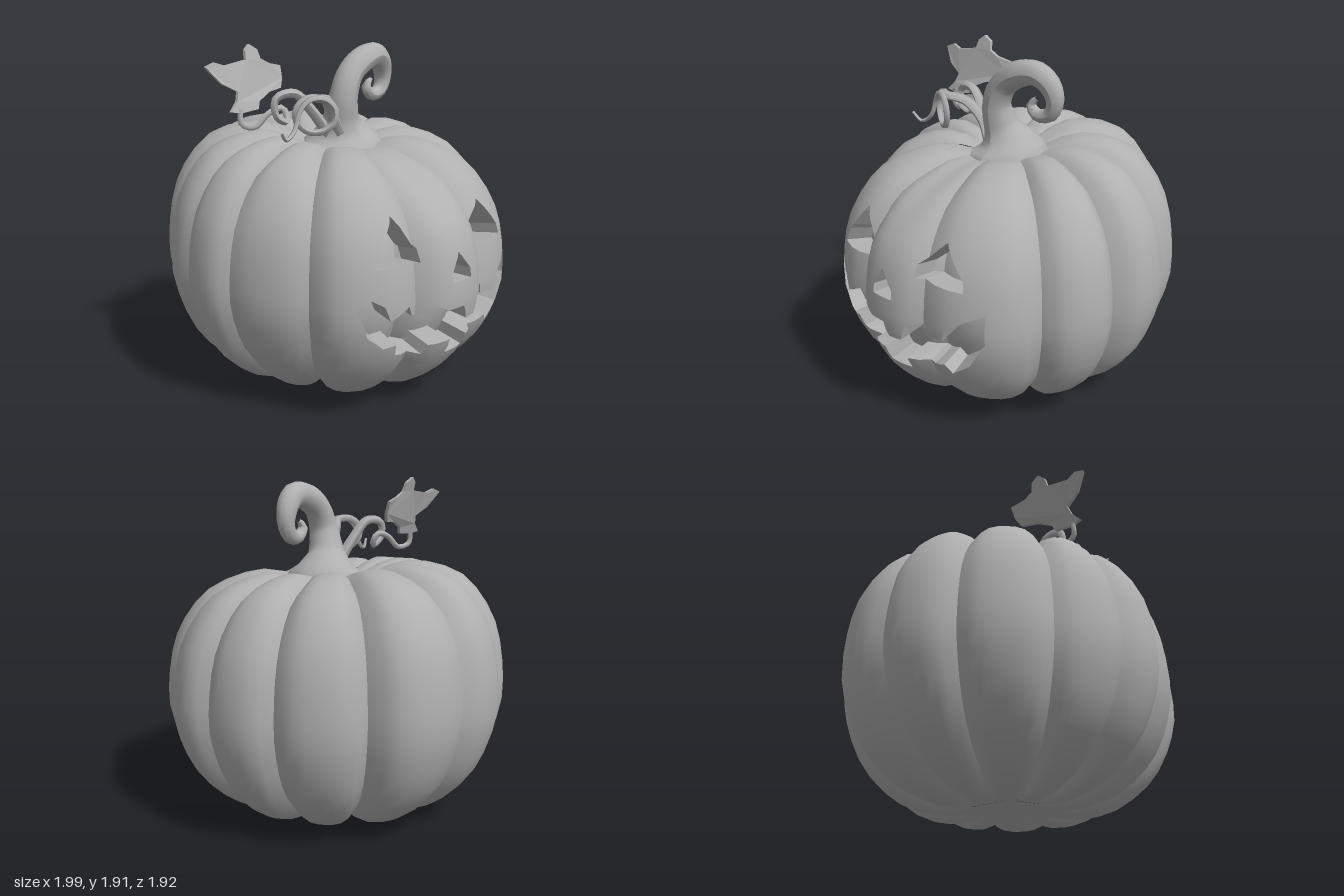
import * as THREE from 'three';

const grey = new THREE.MeshStandardMaterial({ color: 0xb0b0b0 });
grey.name = 'plain grey';
const V = (x, y, z) => new THREE.Vector3(x, y, z);

// Lobes: groove angle (degrees from +x towards +z), groove radius, lobe radius, how far the lobe's top sags
const LOBES = [
  [-11, 0.94, 1.0, 0.07], [19, 0.92, 0.995, 0], [54, 0.89, 0.92, 0], [83, 0.9, 0.96, 0],
  [105, 0.92, 0.96, 0], [129, 0.91, 0.995, 0], [159, 0.93, 1.0, 0], [186, 0.94, 0.99, 0],
  [221, 0.85, 0.955, 0], [253, 0.88, 0.968, 0], [282, 0.865, 0.975, 0], [310, 0.89, 1.0, 0],
];

// Lobe crest outline: radius, height
const CREST = new THREE.SplineCurve([
  [0, 0.08], [0.15, 0.04], [0.32, 0.0], [0.52, 0.025], [0.7, 0.11], [0.87, 0.28], [0.97, 0.5], [1, 0.71],
  [0.95, 1.03], [0.815, 1.26], [0.67, 1.365], [0.46, 1.42], [0.3, 1.395], [0.17, 1.34], [0, 1.31],
].map(p => new THREE.Vector2(...p)));

// Carved openings as (z, y) outlines on the +x side
const HOLES = [
  [[0.54, 0.89], [0.5, 0.97], [0.38, 1.125], [0.27, 0.95], [0.27, 0.88]],
  [[-0.125, 0.9], [-0.13, 0.97], [-0.27, 1.1], [-0.41, 0.94], [-0.42, 0.885]],
  [[0.13, 0.76], [0.13, 0.81], [0.07, 0.91], [-0.01, 0.81], [-0.01, 0.76]],
  [[0.63, 0.78], [0.51, 0.7], [0.48, 0.62], [0.36, 0.67], [0.33, 0.61], [0.26, 0.61], [0.24, 0.66],
    [0.16, 0.62], [0.05, 0.62], [0.02, 0.54], [-0.06, 0.54], [-0.09, 0.63], [-0.19, 0.66], [-0.2, 0.6],
    [-0.31, 0.6], [-0.34, 0.68], [-0.43, 0.73], [-0.53, 0.78], [-0.53, 0.62], [-0.44, 0.47],
    [-0.33, 0.39], [-0.29, 0.44], [-0.21, 0.41], [-0.06, 0.41], [-0.06, 0.34], [0.09, 0.34],
    [0.1, 0.43], [0.22, 0.42], [0.23, 0.36], [0.4, 0.4], [0.42, 0.47], [0.49, 0.46], [0.58, 0.54], [0.63, 0.7]],
];

function lobeGeometry(i) {
  const [a0, g0, R, sag] = LOBES[i];
  const next = LOBES[(i + 1) % LOBES.length];
  const a1 = next[0] < a0 ? next[0] + 360 : next[0];
  const cols = 8, rows = 26, pos = [], index = [];
  for (let r = 0; r <= rows; r++) {
    const c = CREST.getPointAt(r / rows);
    c.x = Math.max(0, c.x);
    const fade = THREE.MathUtils.smoothstep(c.x, 0.12, 0.6);
    for (let k = 0; k <= cols; k++) {
      const t = (k / cols) * 2 - 1;
      const a = THREE.MathUtils.degToRad(a0 + (a1 - a0) * k / cols);
      const g = Math.pow(Math.abs(t), 3) * fade;
      const rad = c.x * (R - (R - (t < 0 ? g0 : next[1])) * g);
      const x = rad * Math.cos(a);
      const y = 0.7 + (c.y - 0.7) * (1 - 0.085 * g)
        - sag * (1 - t * t) * fade * THREE.MathUtils.smoothstep(c.y, 1, 1.36);
      pos.push(x, y - (x > 0 ? 0.095 : 0.08) * x * y / 1.4, rad * Math.sin(a));
      if (r < rows && k < cols) {
        const p = r * (cols + 1) + k, q = p + cols + 1;
        index.push(p, q, p + 1, p + 1, q, q + 1);
      }
    }
  }
  const geo = new THREE.BufferGeometry();
  geo.setAttribute('position', new THREE.Float32BufferAttribute(pos, 3));
  geo.setIndex(index);
  geo.computeVertexNormals();
  return geo;
}

// Collects convex polygons of {p, n} corners into a geometry
function polygonsToGeometry(polys, flat) {
  const pos = [], nor = [];
  for (const poly of polys)
    for (let k = 1; k < poly.length - 1; k++)
      for (const v of [poly[0], poly[k], poly[k + 1]]) {
        pos.push(...v.p.toArray());
        nor.push(...v.n.toArray());
      }
  const geo = new THREE.BufferGeometry();
  geo.setAttribute('position', new THREE.Float32BufferAttribute(pos, 3));
  geo.setAttribute('normal', new THREE.Float32BufferAttribute(nor, 3));
  if (flat) geo.computeVertexNormals();
  return geo;
}

const lineSide = (p, [az, ay], [bz, by]) =>
  ((bz - az) * (p.y - ay) - (by - ay) * (p.z - az)) / Math.hypot(bz - az, by - ay);

// Splits a convex polygon by the line through a and b
function split(poly, a, b) {
  const left = [], right = [];
  poly.forEach((v, k) => {
    const w = poly[(k + 1) % poly.length];
    const s = lineSide(v.p, a, b), t = lineSide(w.p, a, b);
    if (s > -1e-6) left.push(v);
    if (s < 1e-6) right.push(v);
    if ((s > 1e-6 && t < -1e-6) || (s < -1e-6 && t > 1e-6)) {
      const f = s / (s - t);
      const m = { p: v.p.clone().lerp(w.p, f), n: v.n.clone().lerp(w.n, f).normalize() };
      left.push(m);
      right.push(m);
    }
  });
  return [left, right].filter(q => q.length > 2);
}

function overlaps(poly, pts) {
  const zs = poly.map(v => v.p.z), ys = poly.map(v => v.p.y);
  const hz = pts.map(q => q[0]), hy = pts.map(q => q[1]);
  return Math.min(...zs) <= Math.max(...hz) && Math.max(...zs) >= Math.min(...hz)
    && Math.min(...ys) <= Math.max(...hy) && Math.max(...ys) >= Math.min(...hy);
}

function isInside(poly, hole) {
  const z = poly.reduce((s, v) => s + v.p.z, 0) / poly.length;
  const y = poly.reduce((s, v) => s + v.p.y, 0) / poly.length;
  let inside = false;
  hole.forEach(([az, ay], k) => {
    const [bz, by] = hole[(k + 1) % hole.length];
    if ((ay > y) !== (by > y) && z < (bz - az) * (y - ay) / (by - ay) + az) inside = !inside;
  });
  return inside;
}

function onEdge(p, a, b) {
  const L = Math.hypot(b[0] - a[0], b[1] - a[1]);
  const along = ((p.z - a[0]) * (b[0] - a[0]) + (p.y - a[1]) * (b[1] - a[1])) / L;
  return Math.abs(lineSide(p, a, b)) < 1e-5 && along > -1e-5 && along < L + 1e-5;
}

// Cuts the openings out of a lobe; returns skin, sunken floor and cut walls
function carve(geo) {
  const flat = geo.toNonIndexed(), P = flat.attributes.position, N = flat.attributes.normal;
  const sink = v => ({ p: V(v.p.x * 0.83, 0.7 + (v.p.y - 0.7) * 0.9, v.p.z * 0.91), n: v.n });
  const skin = [], floor = [], walls = [];
  for (let i = 0; i < P.count; i += 3) {
    const tri = [0, 1, 2].map(k => ({
      p: V().fromBufferAttribute(P, i + k), n: V().fromBufferAttribute(N, i + k),
    }));
    const holes = tri.every(v => v.p.x > 0.3) ? HOLES.filter(h => overlaps(tri, h)) : [];
    const edges = holes.flatMap(h => h.map((a, k) => [a, h[(k + 1) % h.length]]));
    let pieces = [tri];
    for (const [a, b] of edges)
      pieces = pieces.flatMap(q => overlaps(q, [a, b]) ? split(q, a, b) : [q]);
    for (const q of pieces) {
      if (holes.some(h => isInside(q, h))) { floor.push(q.map(sink)); continue; }
      skin.push(q);
      q.forEach((v, k) => {
        const w = q[(k + 1) % q.length];
        if (edges.some(([a, b]) => onEdge(v.p, a, b) && onEdge(w.p, a, b)))
          walls.push([w, v, sink(v), sink(w)]);
      });
    }
  }
  return { skin, floor, walls };
}

// Tube whose radius follows a list of values along its length
function taperedTube(points, radii, segs, sides) {
  const curve = new THREE.CatmullRomCurve3(points.map(p => V(...p)));
  const geo = new THREE.TubeGeometry(curve, segs, 1, sides);
  const P = geo.attributes.position, v = V();
  for (let i = 0; i < P.count; i++) {
    const u = Math.floor(i / (sides + 1)) / segs;
    const f = curve.getUtoTmapping(u) * (radii.length - 1), k = Math.min(Math.floor(f), radii.length - 2);
    const c = curve.getPointAt(u);
    v.fromBufferAttribute(P, i).sub(c).multiplyScalar(THREE.MathUtils.lerp(radii[k], radii[k + 1], f - k)).add(c);
    P.setXYZ(i, v.x, v.y, v.z);
  }
  geo.computeVertexNormals();
  return geo;
}

export function createModel() {
  const model = new THREE.Group();
  const add = (name, geo) => {
    const mesh = new THREE.Mesh(geo, grey);
    mesh.name = name;
    model.add(mesh);
  };

  // Ribbed body with the carved face on the +x side
  LOBES.forEach((_, i) => {
    const { skin, floor, walls } = carve(lobeGeometry(i));
    add('lobe' + (i + 1), polygonsToGeometry(skin));
    if (floor.length) add('carvingFloor' + (i + 1), polygonsToGeometry(floor));
    if (walls.length) add('carvingWalls' + (i + 1), polygonsToGeometry(walls, true));
  });

  // Curled stem with a flared foot
  add('stem', taperedTube([
    [0.05, 1.29, -0.02], [0.05, 1.365, -0.02], [0.055, 1.42, -0.01], [0.07, 1.49, 0.01], [0.1, 1.63, 0.02],
    [0.1, 1.74, -0.03], [0.1, 1.81, -0.13], [0.09, 1.83, -0.25], [0.07, 1.77, -0.33], [0.06, 1.68, -0.355],
    [0.06, 1.61, -0.32], [0.07, 1.6, -0.24], [0.07, 1.65, -0.2], [0.07, 1.69, -0.24],
  ], [0.25, 0.23, 0.155, 0.105, 0.08, 0.076, 0.075, 0.068, 0.06, 0.048, 0.042, 0.036, 0.028, 0.012], 40, 12));

  // Vine that winds once round before its loose tail
  const loop = [];
  for (let k = 0; k <= 10; k++) {
    const a = 2 - k * Math.PI / 4;
    loop.push([0.18 - 0.055 * Math.cos(a) + 0.004 * k, 1.56 + 0.095 * Math.sin(a), 0.34 + 0.09 * Math.cos(a)]);
  }
  add('curlyVine', taperedTube([
    [0.12, 1.38, 0.05], [0.11, 1.52, 0.12], [0.15, 1.62, 0.21], ...loop,
    [0.17, 1.49, 0.47], [0.18, 1.45, 0.54], [0.2, 1.5, 0.59],
  ], [0.04, 0.024, 0.02, 0.018, 0.016, 0.008], 60, 5));

  // Vine that carries the leaf
  add('leafVine', taperedTube([
    [0.06, 1.38, 0.08], [0.02, 1.55, 0.2], [-0.01, 1.65, 0.3], [-0.04, 1.63, 0.41], [-0.03, 1.54, 0.42],
    [-0.03, 1.5, 0.34], [-0.06, 1.57, 0.34], [-0.08, 1.55, 0.43], [-0.11, 1.48, 0.5], [-0.14, 1.5, 0.57],
    [-0.15, 1.58, 0.57],
  ], [0.035, 0.022, 0.018, 0.015], 44, 5));

  // Lobed leaf, leaning and slightly bowed
  const outline = [
    [0.72, 1.81], [0.66, 1.83], [0.6, 1.81], [0.46, 1.83], [0.45, 1.88], [0.41, 1.91], [0.36, 1.88],
    [0.35, 1.83], [0.29, 1.8], [0.2, 1.78], [0.21, 1.71], [0.24, 1.66], [0.34, 1.65], [0.43, 1.61],
    [0.45, 1.57], [0.56, 1.56], [0.63, 1.57], [0.58, 1.62], [0.56, 1.67], [0.65, 1.72],
  ].map(p => new THREE.Vector2(...p));
  const leaf = new THREE.ExtrudeGeometry(new THREE.Shape(outline), { depth: 0.02, bevelEnabled: false });
  const P = leaf.attributes.position;
  for (let i = 0; i < P.count; i++) {
    const z = P.getX(i), y = P.getY(i);
    P.setXYZ(i, -0.12 - 0.33 * (y - 1.53) - 0.4 * (z - 0.45) ** 2 - P.getZ(i), y, z);
  }
  leaf.computeVertexNormals();
  add('leaf', leaf);
  return model;
}
